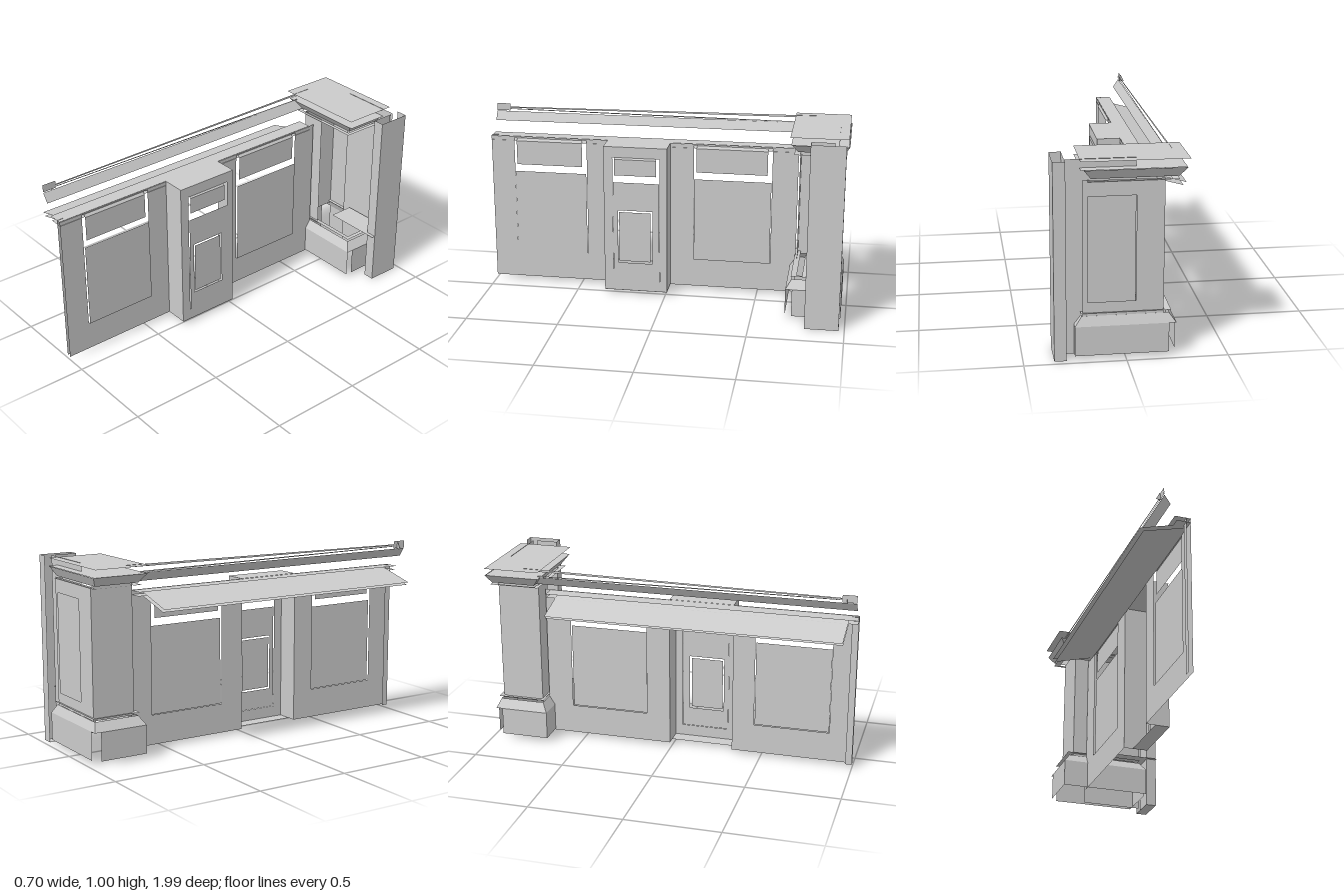
import * as THREE from 'three';

const mat = new THREE.MeshStandardMaterial({ color: 0xcccccc, flatShading: true, side: THREE.DoubleSide });

export function createModel() {
  const model = new THREE.Group();

  const add = (name, geo) => {
    const m = new THREE.Mesh(geo, mat);
    m.name = name;
    model.add(m);
  };
  // Thin four-cornered sheet
  const quad = (name, a, b, c, d) => {
    const g = new THREE.BufferGeometry();
    g.setAttribute('position', new THREE.Float32BufferAttribute([...a, ...b, ...c, ...d], 3));
    g.setIndex([0, 1, 2, 0, 2, 3]);
    g.computeVertexNormals();
    add(name, g);
  };
  // Axis-aligned sheets: facing y, z or x
  const sheetY = (name, x0, x1, z0, z1, y) =>
    quad(name, [x0, y, z0], [x0, y, z1], [x1, y, z1], [x1, y, z0]);
  const sheetZ = (name, x0, x1, y0, y1, z) =>
    quad(name, [x0, y0, z], [x1, y0, z], [x1, y1, z], [x0, y1, z]);
  const rect = (Type, a0, a1, b0, b1) =>
    new Type([[a0, b0], [a1, b0], [a1, b1], [a0, b1]].map(p => new THREE.Vector2(...p)));
  // Sheet facing +x with rectangular openings [z0, z1, y0, y1]
  const sheetX = (name, z0, z1, y0, y1, x, holes = []) => {
    const s = rect(THREE.Shape, -z1, -z0, y0, y1);
    for (const h of holes) s.holes.push(rect(THREE.Path, -h[1], -h[0], h[2], h[3]));
    add(name, new THREE.ShapeGeometry(s).rotateY(Math.PI / 2).translate(x, 0, 0));
  };

  // Wall: two framed bays with panels standing slightly proud
  const wallX = -0.108, panelX = -0.1;
  const bays = [[0.34, 1, 0.46, 0.87], [-0.71, -0.01, -0.57, -0.14]];
  for (const [z0, z1, h0, h1] of bays) {
    sheetX('wallFrame', z0, z1, 0.02, 0.85, wallX, [[h0, h1, 0.18, 0.84]]);
    sheetX('lowerWallPanel', h0 + 0.003, h1 - 0.003, 0.18, 0.65, panelX);
    sheetX('upperWallPanel', h0 + 0.025, h1 - 0.015, 0.69, 0.825, panelX);
    quad('panelLip', [panelX, 0.825, h0 + 0.025], [panelX, 0.825, h1 - 0.015],
      [-0.115, 0.845, h1 - 0.015], [-0.115, 0.845, h0 + 0.025]);
  }
  sheetX('wallEndStrip', 0.965, 1, 0.02, 0.85, -0.13);

  // Central pier
  const pz0 = -0.01, pz1 = 0.34, px = 0.018, insetX = 0.022;
  for (const z of [pz0, pz1]) sheetZ('pierSide', wallX, px, 0.02, 0.85, z);
  sheetX('pierFrame', pz0, pz1, 0.02, 0.85, px, [[0.03, 0.29, 0.08, 0.79]]);
  sheetX('pierPanel', 0.032, 0.288, 0.08, 0.65, insetX, [[0.07, 0.262, 0.185, 0.49]]);
  sheetX('pierInsetPanel', 0.08, 0.255, 0.195, 0.48, insetX);
  sheetX('pierUpperPanel', 0.05, 0.28, 0.69, 0.78, insetX);
  quad('pierPanelLip', [insetX, 0.78, 0.05], [insetX, 0.78, 0.28], [0.01, 0.79, 0.28], [0.01, 0.79, 0.05]);
  sheetY('pierTop', wallX, 0.02, pz0, pz1, 0.85);
  sheetY('pierBottom', -0.06, 0.02, pz0, pz1, 0.02);

  // Ledge along the wall top, and the double sloping board behind it
  sheetY('ledge', -0.19, -0.105, -0.68, 1, 0.848);
  sheetY('ledgeUnderside', -0.18, -0.105, -0.68, 1, 0.826);
  quad('slopingBoard', [-0.108, 0.845, -0.63], [-0.35, 0.778, -0.63], [-0.35, 0.778, 0.95], [-0.108, 0.845, 0.95]);
  quad('slopingBoardUnderside', [-0.108, 0.825, -0.63], [-0.335, 0.763, -0.63], [-0.335, 0.763, 0.95], [-0.108, 0.825, 0.95]);

  // Handrail: leaning face, thin tapering trim and end block
  quad('railFace', [-0.212, 0.91, -0.78], [-0.212, 0.91, 1], [-0.243, 0.957, 1], [-0.243, 0.957, -0.78]);
  quad('railTrim', [-0.243, 0.975, 1], [-0.243, 0.982, 1], [-0.243, 1, -0.79], [-0.243, 0.988, -0.79]);
  quad('railLowerTrim', [-0.24, 0.97, 1], [-0.24, 0.974, 1], [-0.24, 0.964, -0.7], [-0.24, 0.957, -0.7]);
  sheetX('railEnd', 0.925, 1, 0.96, 1, -0.245);
  quad('railEndWedge', [-0.27, 0.957, 0.95], [-0.24, 0.957, 0.95], [-0.24, 0.96, 0.95], [-0.25, 0.997, 0.95]);

  // Pillar base: plinth faces with open corners, bevels above
  const gap = 0.035;
  sheetZ('plinthFront', -0.245, 0.25, 0.025, 0.175, -0.68);
  sheetZ('plinthBack', -0.245 + gap, 0.25, 0.025, 0.175, -0.975);
  sheetX('plinthLeft', -0.975 + gap, -0.68, 0.025, 0.175, -0.245);
  sheetX('plinthRight', -0.975, -0.68 - gap, 0.025, 0.175, 0.25);

  // Sloping faces around a rectangle; lower and upper are [x0, x1, z0, z1, y]
  const skirt = (name, l, u) => {
    const ring = ([x0, x1, z0, z1, y]) => [[x0, y, z0], [x1, y, z0], [x1, y, z1], [x0, y, z1]];
    const a = ring(l), b = ring(u);
    for (let i = 0; i < 4; i++) {
      const j = (i + 1) % 4;
      quad(name, a[j], a[i], b[i], b[j]);
    }
  };
  skirt('plinthBevel', [-0.245, 0.25, -0.975, -0.68, 0.175], [-0.21, 0.215, -0.955, -0.71, 0.222]);

  // Pillar body: corner strips, side and recessed panel running to the post
  sheetZ('pillarFrontStrip', -0.185, -0.05, 0.22, 0.9, -0.72);
  sheetZ('pillarBackStrip', -0.185, -0.05, 0.22, 0.9, -0.95);
  sheetZ('pillarBackStile', 0.185, 0.21, 0.22, 0.9, -0.95);
  sheetZ('pillarBackTopRail', -0.05, 0.185, 0.82, 0.9, -0.95);
  sheetZ('pillarBackBottomRail', -0.05, 0.185, 0.22, 0.29, -0.95);
  sheetX('pillarSide', -0.95, -0.72, 0.22, 0.9, -0.185);
  sheetZ('pillarPanel', -0.05, 0.29, 0.02, 1, -0.93);
  sheetY('pillarShelf', 0.02, 0.35, -0.91, -0.77, 0.288);

  // Thin flat mouldings round the foot and neck: [x0, x1, z0, z1, y]
  const lip = 0.03;
  for (const [x0, x1, z0, z1, y] of [
    [-0.22, 0.22, -0.965, -0.705, 0.237], [-0.25, 0.185, -0.97, -0.7, 0.895]])
    skirt('moulding', [x0 + lip, x1 - lip, z0 + lip, z1 - lip, y - 0.003], [x0, x1, z0, z1, y + 0.002]);

  // Cornice with its upper sheet, and the raised cap
  skirt('cornice', [-0.25, 0.17, -0.96, -0.72, 0.91], [-0.285, 0.205, -0.985, -0.685, 0.957]);
  sheetY('corniceTop', -0.285, 0.22, -0.98, -0.685, 0.957);
  sheetY('cap', -0.3, 0.22, -0.98, -0.68, 0.998);

  // Tall post beside the pillar
  sheetZ('postFront', 0.29, 0.35, 0, 1, -0.79);
  sheetZ('postBack', 0.29, 0.35, 0, 1, -0.97);
  sheetX('postSide', -0.97, -0.79, 0, 1, 0.35);
  sheetX('postInnerSide', -0.91, -0.79, 0, 1, 0.292);
  sheetY('postBottom', 0.29, 0.35, -0.97, -0.79, 0);

  return model;
}
